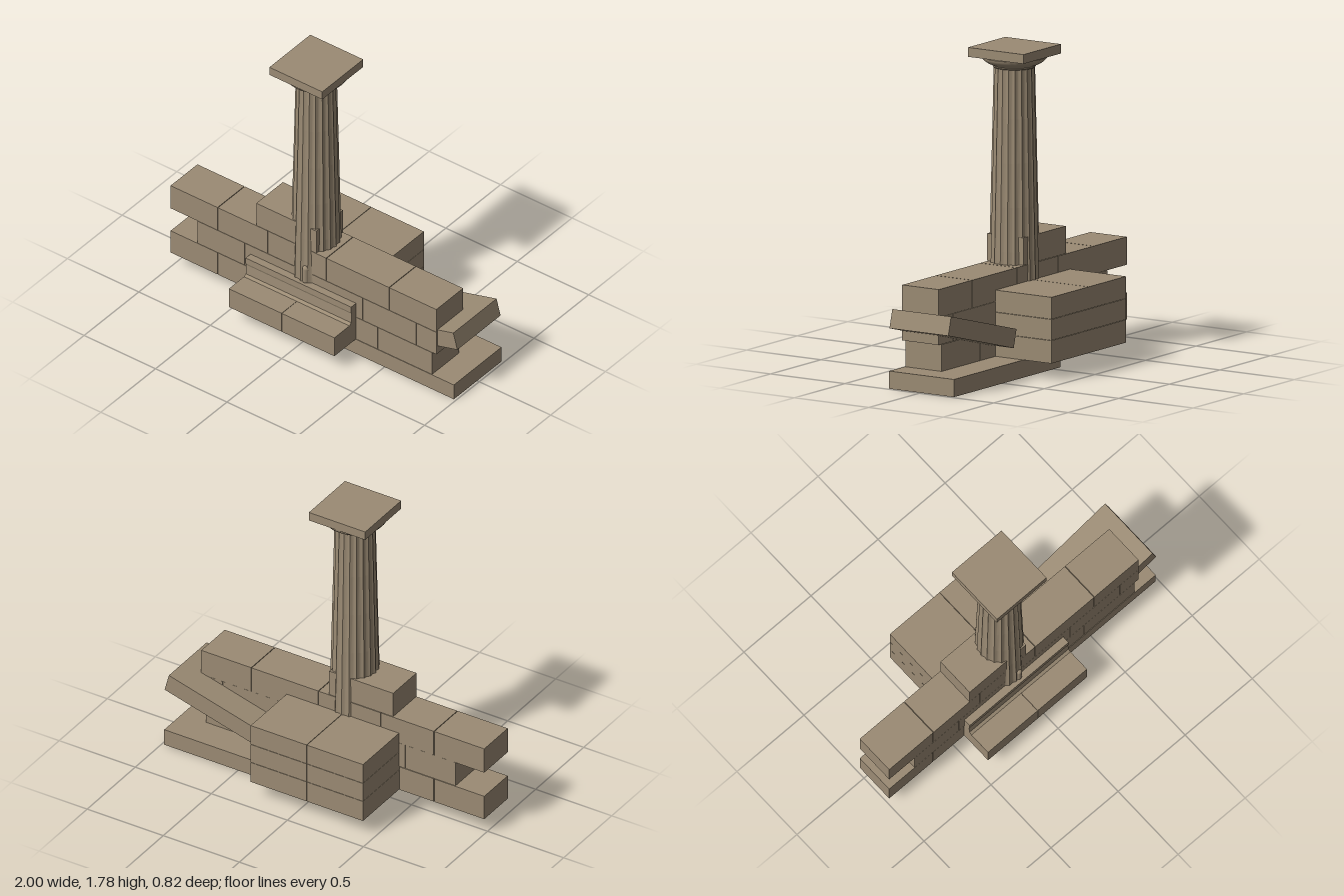
import * as THREE from 'three';
import { toCreasedNormals } from 'three/addons/utils/BufferGeometryUtils.js';

const stone = new THREE.MeshStandardMaterial({ color: 0x9b8b74 });
stone.name = 'weathered stone';

const AXIS_X = -0.072, AXIS_Z = 0.09;

function add(parent, name, geometry) {
  const mesh = new THREE.Mesh(geometry, stone);
  mesh.name = name;
  parent.add(mesh);
  return mesh;
}

// Box given by its limits on each axis
function block(parent, name, [x0, x1], [y0, y1], [z0, z1]) {
  const mesh = add(parent, name, new THREE.BoxGeometry(x1 - x0, y1 - y0, z1 - z0));
  mesh.position.set((x0 + x1) / 2, (y0 + y1) / 2, (z0 + z1) / 2);
  return mesh;
}

// Row of blocks parted by narrow joints at the given x positions
function course(parent, name, joints, y, z, gap = 0.004) {
  for (let i = 0; i < joints.length - 1; i++) {
    const x0 = joints[i] + (i > 0 ? gap / 2 : 0);
    const x1 = joints[i + 1] - (i < joints.length - 2 ? gap / 2 : 0);
    block(parent, name, [x0, x1], y, z);
  }
}

// Tapered drum with twenty concave flutes meeting in sharp edges
const shaftRadius = (y) => 0.14 - (y - 0.57) * 0.0227;
function flutedDrum(y0, y1) {
  const geometry = new THREE.CylinderGeometry(shaftRadius(y1), shaftRadius(y0), y1 - y0, 120, 1);
  const p = geometry.attributes.position;
  for (let i = 0; i < p.count; i++) {
    const angle = Math.atan2(p.getX(i), p.getZ(i));
    const k = 1 - 0.06 * Math.abs(Math.sin(angle * 10));
    p.setXYZ(i, p.getX(i) * k, p.getY(i), p.getZ(i) * k);
  }
  return toCreasedNormals(geometry, 0.6);
}

export function createModel() {
  const model = new THREE.Group();
  model.name = 'ruinedColumnAndWall';

  // Foundation slab
  block(model, 'foundationSlab', [-0.07, 0.985], [0, 0.1], [-0.222, 0.213]);

  // Wall courses
  const wall = new THREE.Group();
  wall.name = 'wall';
  model.add(wall);
  course(wall, 'lowerWallBlock', [-1, -0.67, -0.44, -0.07, 0.45, 0.83], [0.1, 0.252], [-0.035, 0.21]);
  course(wall, 'middleWallBlock', [-0.81, -0.48, -0.07, 0.345, 0.72, 0.86], [0.254, 0.408], [-0.033, 0.21]);
  course(wall, 'upperWallBlock', [-1, -0.67, -0.32, 0.09, 0.53, 0.86], [0.41, 0.568], [-0.035, 0.21]);
  block(wall, 'topWallBlock', [-0.4, 0.02], [0.57, 0.725], [-0.033, 0.21]);

  // Rear pedestal in three courses
  const pedestal = new THREE.Group();
  pedestal.name = 'rearPedestal';
  model.add(pedestal);
  for (const y of [[0.1, 0.229], [0.231, 0.349], [0.351, 0.475]]) {
    course(pedestal, 'pedestalBlock', [-0.44, -0.07, 0.298], y, [-0.41, -0.03], 0.003);
  }

  // Bench: stepped seat and back rest
  const bench = new THREE.Group();
  bench.name = 'bench';
  model.add(bench);
  course(bench, 'benchSeat', [-0.44, -0.07, 0.298], [0.1, 0.228], [0.2, 0.408], 0.002);
  const rest = new THREE.Shape([
    [0.2, 0.228], [0.27, 0.228], [0.254, 0.24], [0.25, 0.3], [0.255, 0.312], [0.255, 0.35], [0.2, 0.35],
  ].map(([z, y]) => new THREE.Vector2(-z, y)));
  const backRest = add(bench, 'benchBack',
    new THREE.ExtrudeGeometry(rest, { depth: 0.738, bevelEnabled: false }));
  backRest.rotation.y = Math.PI / 2;
  backRest.position.x = -0.44;

  // Small rounded stone standing against the column
  const knob = add(bench, 'roundedStone', new THREE.CapsuleGeometry(0.02, 0.08, 6, 16));
  knob.position.set(-0.045, 0.4, 0.22);

  // Fallen slab leaning through the wall
  const lean = 0.262, length = 0.67, thick = 0.108;
  const slab = add(model, 'leaningSlab', new THREE.BoxGeometry(length, thick, 0.395));
  slab.geometry.translate(-length / 2, thick / 2, 0);
  slab.rotation.z = lean;
  slab.position.set(1, 0.346, 0.003);

  // Column
  const column = new THREE.Group();
  column.name = 'column';
  column.position.set(AXIS_X, 0, AXIS_Z);
  model.add(column);
  const levels = [0.14, 0.39, 0.64, 0.89, 1.14, 1.39, 1.67];
  for (let i = 0; i < levels.length - 1; i++) {
    const drum = add(column, 'flutedDrum', flutedDrum(levels[i], levels[i + 1]));
    drum.position.y = (levels[i] + levels[i + 1]) / 2;
  }

  // Capital: rings, flaring cushion and square top plate
  const profile = [
    [0, 1.668], [0.116, 1.668], [0.12, 1.674], [0.118, 1.678], [0.126, 1.682],
    [0.148, 1.692], [0.168, 1.705], [0.181, 1.72], [0.182, 1.728], [0.176, 1.733], [0, 1.733],
  ].map(([r, y]) => new THREE.Vector2(r, y));
  add(column, 'capitalCushion', toCreasedNormals(new THREE.LatheGeometry(profile, 64), 0.6));
  block(column, 'capitalPlate', [-0.185, 0.185], [1.732, 1.785], [-0.187, 0.187]);

  return model;
}
